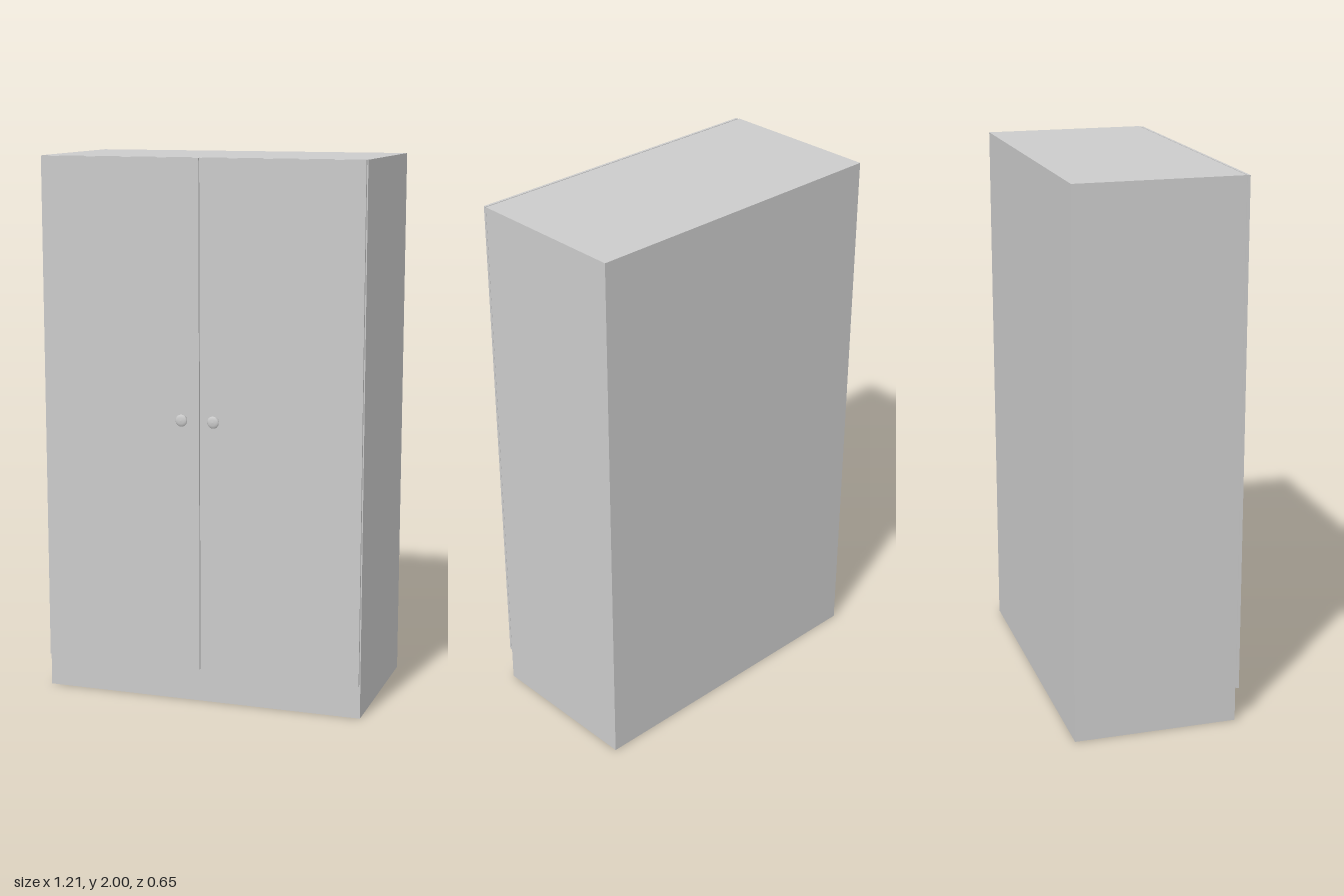
import * as THREE from 'three';

const W = 1.21, H = 2, BACK = -0.327, FRONT = 0.277;
const DOOR_BOTTOM = 0.125, DOOR_BACK = 0.282, DOOR_FRONT = 0.292;

export function createModel() {
  const model = new THREE.Group();
  model.name = 'wardrobe';
  const material = new THREE.MeshStandardMaterial({ color: 0xcccccc });

  // Box given by its two opposite corners
  function addBox(name, [x0, y0, z0], [x1, y1, z1]) {
    const mesh = new THREE.Mesh(new THREE.BoxGeometry(x1 - x0, y1 - y0, z1 - z0), material);
    mesh.position.set((x0 + x1) / 2, (y0 + y1) / 2, (z0 + z1) / 2);
    mesh.name = name;
    model.add(mesh);
  }

  // Body, with the plinth flush below the doors
  addBox('carcass', [-W / 2, 0, BACK], [W / 2, H, FRONT]);

  // Knob profile: foot, waist, flared rim and shallow dome
  const profile = [
    [0, 0], [0.013, 0], [0.012, 0.003], [0.008, 0.007], [0.007, 0.012], [0.009, 0.018],
    [0.015, 0.022], [0.021, 0.025], [0.022, 0.028], [0.019, 0.032], [0.011, 0.034], [0, 0.035],
  ].map(([r, y]) => new THREE.Vector2(r, y));
  const knobGeometry = new THREE.LatheGeometry(profile, 32).rotateX(Math.PI / 2);

  // Mirrored doors with a narrow gap between them, and their knobs
  for (const side of [-1, 1]) {
    const prefix = side > 0 ? 'left' : 'right';
    const xs = [side * 0.002, side * 0.602].sort((a, b) => a - b);
    addBox(prefix + 'Door', [xs[0], DOOR_BOTTOM, DOOR_BACK], [xs[1], H - 0.001, DOOR_FRONT]);

    const knob = new THREE.Mesh(knobGeometry, material);
    knob.name = prefix + 'Knob';
    knob.position.set(side * 0.06, 1.065, DOOR_FRONT);
    model.add(knob);
  }
  return model;
}
